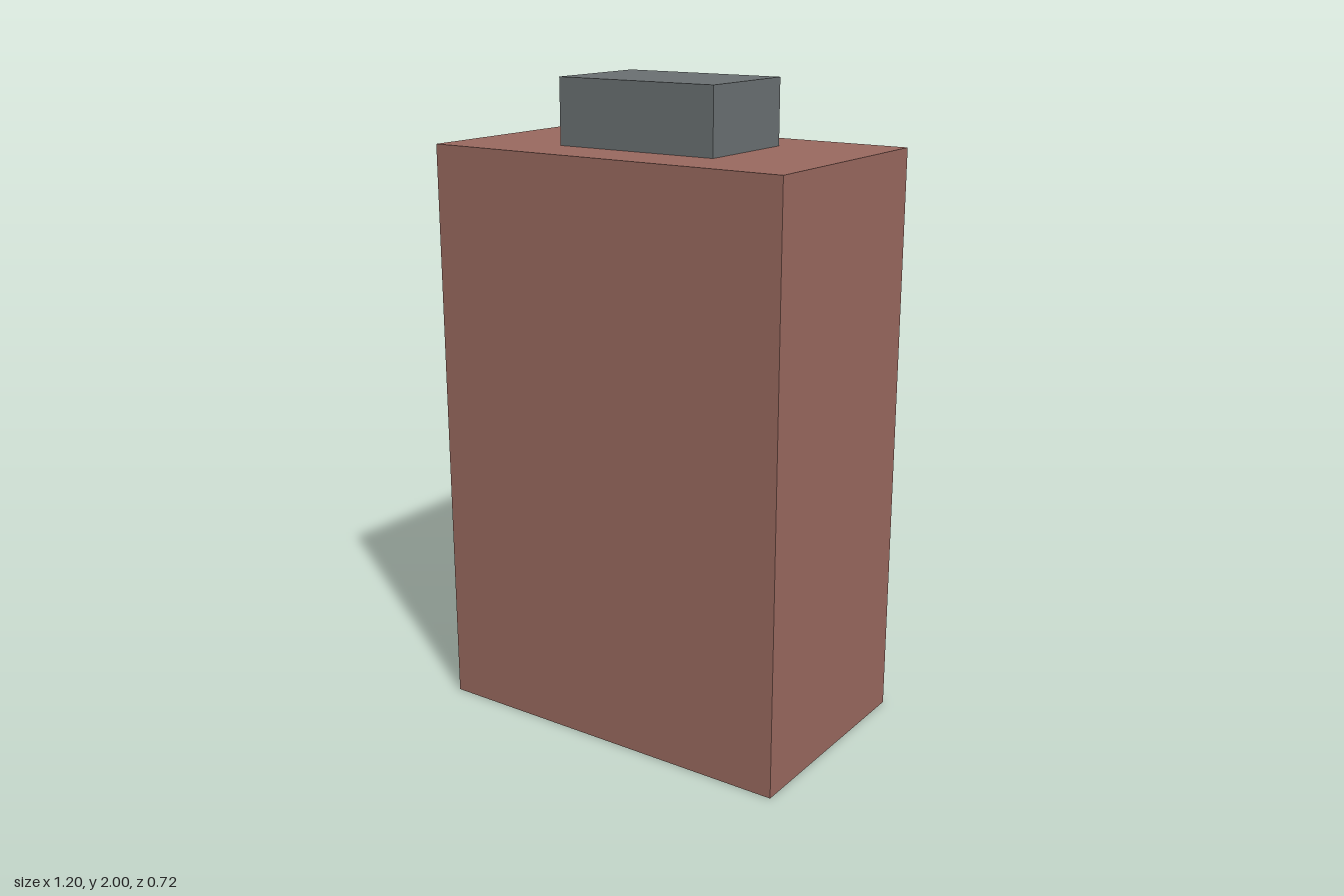
import * as THREE from 'three';

// Box standing on height y
function block(name, w, h, d, y, color) {
  const mesh = new THREE.Mesh(
    new THREE.BoxGeometry(w, h, d),
    new THREE.MeshStandardMaterial({ color })
  );
  mesh.name = name;
  mesh.position.y = y + h / 2;
  return mesh;
}

export function createModel() {
  const model = new THREE.Group();
  model.name = 'chimney';

  // Tall brick-coloured stack with a smaller grey cap on top
  model.add(block('stack', 1.2, 1.8, 0.717, 0, 0x99695f));
  model.add(block('cap', 0.538, 0.2, 0.358, 1.8, 0x6a7072));

  return model;
}
